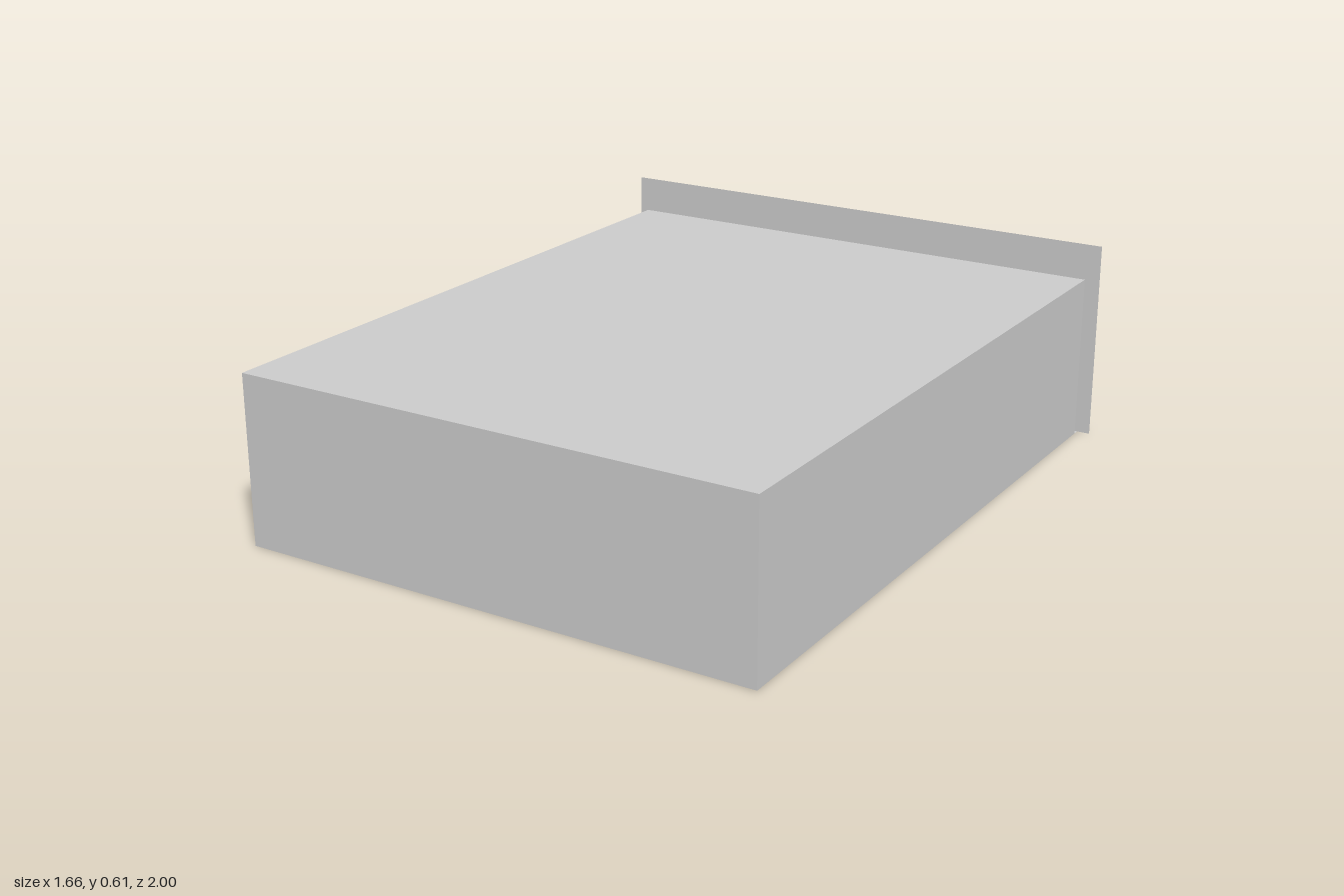
import * as THREE from 'three';

export function createModel() {
  const group = new THREE.Group();
  const solid = new THREE.MeshStandardMaterial({ color: 0xcccccc, flatShading: true });
  const thin = new THREE.MeshStandardMaterial({ color: 0xcccccc, flatShading: true, side: THREE.DoubleSide });

  const add = (name, geometry, material, x, y, z) => {
    const mesh = new THREE.Mesh(geometry, material);
    mesh.name = name;
    mesh.position.set(x, y, z);
    group.add(mesh);
    return mesh;
  };

  const backZ = -1, wallZ = -0.98, depth = wallZ - backZ, midZ = (backZ + wallZ) / 2;
  const doorMin = 0.445, doorMax = 0.61, doorTop = 0.21;

  // Main hall
  add('hall', new THREE.BoxGeometry(1.58, 0.5, 1.98), solid, 0, 0.25, 0.01);

  // Floor strip joining the hall to the facade
  add('floorStrip', new THREE.PlaneGeometry(1.58, depth), thin, 0, 0, midZ).rotation.x = -Math.PI / 2;

  // Thin, oversized facade with a doorway notch
  const outline = new THREE.Shape([
    [-0.83, 0], [doorMin, 0], [doorMin, doorTop], [doorMax, doorTop],
    [doorMax, 0], [0.83, 0], [0.83, 0.605], [-0.83, 0.605],
  ].map(([x, y]) => new THREE.Vector2(x, y)));
  add('facade', new THREE.ShapeGeometry(outline), thin, 0, 0, backZ);

  // Doorway reveals
  for (const x of [doorMin, doorMax]) {
    add('doorJamb', new THREE.PlaneGeometry(depth, doorTop), thin, x, doorTop / 2, midZ).rotation.y = Math.PI / 2;
  }
  add('doorLintel', new THREE.PlaneGeometry(doorMax - doorMin, depth), thin,
    (doorMin + doorMax) / 2, doorTop, midZ).rotation.x = Math.PI / 2;

  return group;
}
